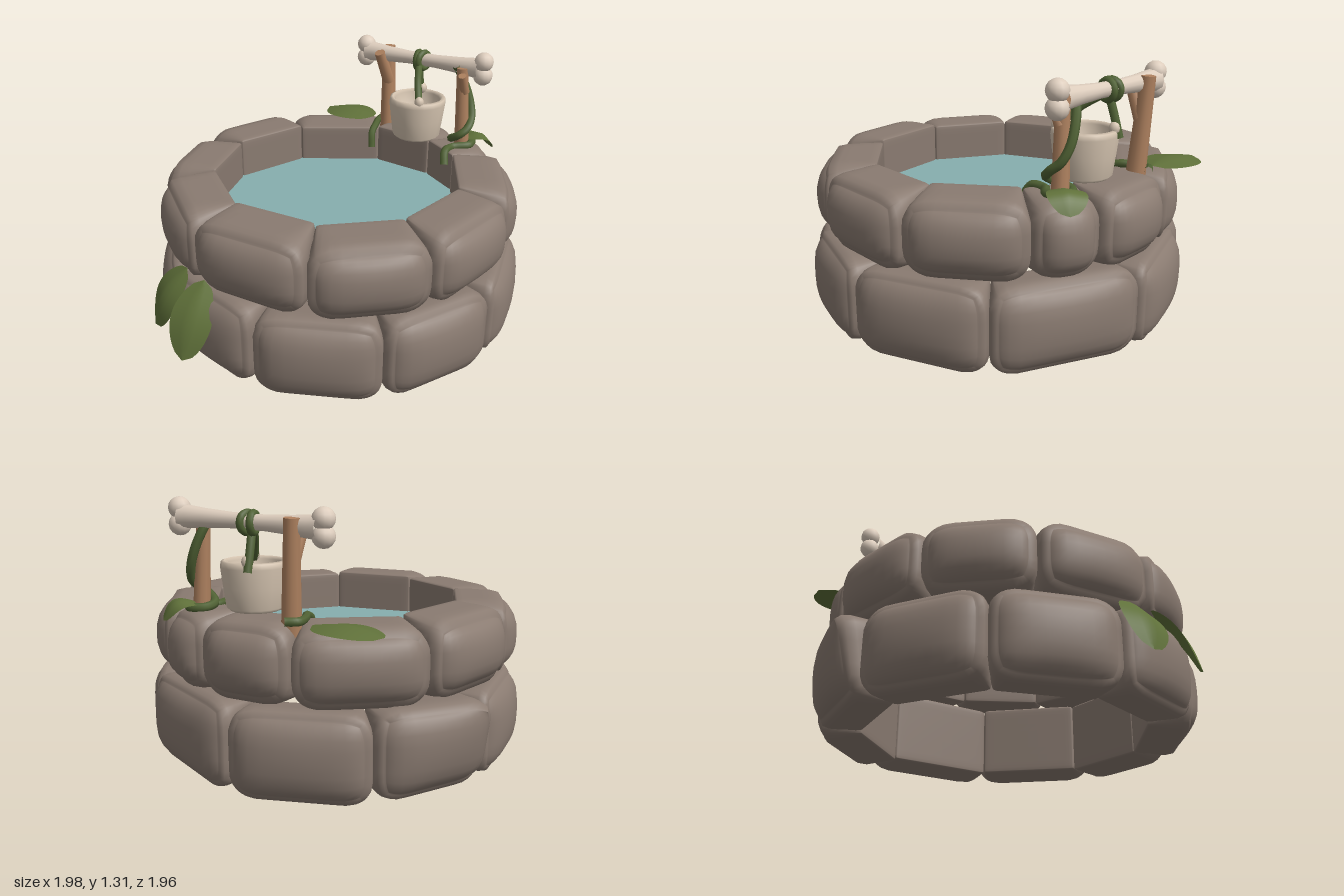
import * as THREE from 'three';
import { mergeVertices } from 'three/addons/utils/BufferGeometryUtils.js';

const V = (x, y, z) => new THREE.Vector3(x, y, z);
const mat = (name, color, side = THREE.FrontSide) => {
  const m = new THREE.MeshStandardMaterial({ color, side });
  m.name = name;
  return m;
};

export function createModel() {
  const model = new THREE.Group();
  model.name = 'stoneWell';
  const stone = mat('stone', 0x8a7b71);
  const water = mat('water', 0x86aeae, THREE.DoubleSide);
  const wood = mat('wood', 0xae815f);
  const bone = mat('bone', 0xddcdbd);
  const clay = mat('bucketClay', 0xd5c4b0);
  const vine = mat('vine', 0x506234);
  const leafGreen = mat('leaf', 0x60713a, THREE.DoubleSide);

  const add = (name, geometry, material, parent = model) => {
    const mesh = new THREE.Mesh(geometry, material);
    mesh.name = name;
    parent.add(mesh);
    return mesh;
  };
  const group = (name) => {
    const g = new THREE.Group();
    g.name = name;
    model.add(g);
    return g;
  };
  // Places a mesh whose length runs along y so that it spans a to b
  const span = (mesh, a, b) => {
    mesh.position.copy(a).lerp(b, 0.5);
    mesh.quaternion.setFromUnitVectors(V(0, 1, 0), b.clone().sub(a).normalize());
    return mesh;
  };

  // Wedge-shaped stone: crisp on the inside, pillowed on the outside
  function stoneGeometry(a0, a1, { rIn, rOut, y0, y1, cx, cz, taper }, wobble, flare) {
    const mid = (a0 + a1) / 2, half = (a1 - a0) / 2;
    const near = rIn * Math.cos(half), far = rOut * Math.min(Math.cos(half), 0.95);
    const hd = far - near, hh = (y1 - y0) / 2, hw = Math.tan(half) * (near + far) / 2;
    const geo = new THREE.BoxGeometry(2, 2, 2, 14, 12, 8);
    geo.deleteAttribute('uv');
    geo.deleteAttribute('normal');
    const pos = geo.attributes.position, p = V(0, 0, 0), core = V(0, 0, 0);
    const c = Math.cos(mid), s = Math.sin(mid);
    const ease = (t) => Math.sin(t * Math.PI / 2);
    for (let i = 0; i < pos.count; i++) {
      const u = ease(pos.getX(i)), v = ease(pos.getY(i)), w = ease(pos.getZ(i));
      const k = (w + 1) / 2, r = Math.min(0.02 + 0.125 * k, hw * 0.9);
      // rounded in a space of doubled depth, so corners are wide but shallow
      p.set(u * hw, v * hh, w * hd);
      core.set(
        THREE.MathUtils.clamp(p.x, r - hw, hw - r),
        THREE.MathUtils.clamp(p.y, r - hh, hh - r),
        THREE.MathUtils.clamp(p.z, r - hd, hd - r));
      p.sub(core);
      if (p.length() > r) p.setLength(r);
      p.add(core);
      const dist = (near + far + p.z) / 2;
      const across = p.x / hw * dist * Math.tan(half);
      const out = dist + k * (0.045 * (1 - u * u) * (1 - v * v) + flare * (1 + u) * (1 + v) / 4);
      const y = (y0 + y1) / 2 + wobble + p.y * (1 - taper * (1 - k)) + wobble * p.x;
      pos.setXYZ(i, cx + c * out + s * across, y, cz + s * out - c * across);
    }
    const merged = mergeVertices(geo, 1e-4);
    merged.computeVertexNormals();
    return merged;
  }

  // Two staggered courses, joints given as angles in degrees
  const courses = [
    { name: 'lowerStone', joints: [25, 68, 106, 145, 182, 220, 259, 296, 338], flareOf: 6,
      rIn: 0.71, rOut: 0.96, y0: 0.01, y1: 0.45, cx: 0.055, cz: 0.025, taper: 0.15 },
    { name: 'upperStone', joints: [13, 51, 90, 128, 168, 206, 241, 279, 320, 351], flareOf: -1,
      rIn: 0.635, rOut: 0.925, y0: 0.435, y1: 0.8, cx: 0.045, cz: 0.02, taper: 0 },
  ];
  for (const k of courses) {
    const ring = group(k.name + 'Course');
    k.joints.forEach((a, i) => {
      const next = i + 1 < k.joints.length ? k.joints[i + 1] : k.joints[0] + 360;
      add(k.name, stoneGeometry(THREE.MathUtils.degToRad(a), THREE.MathUtils.degToRad(next),
        k, 0.007 * Math.sin(i * 2.3 + 1), i === k.flareOf ? 0.1 : 0), stone, ring);
    });
  }

  // Water surface
  const pool = add('water', new THREE.CircleGeometry(0.69, 24), water);
  pool.rotation.x = -Math.PI / 2;
  pool.position.set(0.045, 0.595, 0.02);

  // Forked posts
  const stick = (name, a, b, r0, r1, parent) =>
    span(add(name, new THREE.CylinderGeometry(r1, r0, a.distanceTo(b), 10), wood, parent), a, b);
  const posts = group('posts');
  stick('frontPost', V(0.81, 0.74, 0.05), V(0.79, 1.23, 0.035), 0.042, 0.032, posts);
  stick('frontFork', V(0.8, 1.1, 0.05), V(0.76, 1.2, 0.075), 0.028, 0.022, posts);
  stick('backPost', V(0.63, 0.74, -0.435), V(0.645, 1.25, -0.47), 0.048, 0.036, posts);
  stick('backFork', V(0.635, 1.05, -0.45), V(0.555, 1.23, -0.43), 0.036, 0.029, posts);

  // Bone crossbar with two knobs at each end
  const beam = group('boneCrossbar');
  const endA = V(0.865, 1.23, 0.09), endB = V(0.56, 1.21, -0.555);
  const len = endA.distanceTo(endB);
  const half = [[0.5, 0.058], [0.44, 0.052], [0.32, 0.044], [0.12, 0.036]];
  const profile = [
    ...half.map(([t, r]) => new THREE.Vector2(r, -t * len)),
    ...half.slice().reverse().map(([t, r]) => new THREE.Vector2(r, t * len)),
  ];
  span(add('boneShaft', new THREE.LatheGeometry(profile, 12), bone, beam), endB, endA);
  for (const [end, dir] of [[endA, 1], [endB, -1]]) {
    for (const up of [1, -1]) {
      const knob = add('boneKnob', new THREE.SphereGeometry(0.052, 12, 8), bone, beam);
      knob.position.copy(end).add(V(0.008 * dir, 0.037 * up, 0.014 * dir));
    }
  }

  // Bucket with thick walls and two ears
  const bucket = group('bucket');
  const wall = [[0, 0.81], [0.115, 0.81], [0.132, 0.825], [0.145, 0.92], [0.156, 1.01], [0.152, 1.035],
    [0.138, 1.04], [0.124, 1.025], [0.105, 0.87], [0, 0.86]].map(([x, y]) => new THREE.Vector2(x, y));
  add('bucketBody', new THREE.LatheGeometry(wall, 18), clay, bucket).position.set(0.64, 0, -0.155);
  const ears = [V(0.575, 1.045, -0.045), V(0.735, 1.045, -0.25)];
  for (const e of ears) {
    const ear = add('bucketEar', new THREE.SphereGeometry(0.026, 10, 8), clay, bucket);
    ear.position.copy(e);
    ear.scale.y = 1.2;
  }

  // Vines
  const vines = group('vines');
  const strand = (name, r, ...pts) => add(name,
    new THREE.TubeGeometry(new THREE.CatmullRomCurve3(pts), pts.length * 7, r, 7), vine, vines);
  const knot = V(0.705, 1.215, -0.235);
  const axis = endA.clone().sub(endB).normalize();
  for (const [offset, lean] of [[-0.016, 0.25], [0.016, -0.25]]) {
    const loop = add('vineKnot', new THREE.TorusGeometry(0.042, 0.019, 8, 16), vine, vines);
    loop.position.copy(knot).addScaledVector(axis, offset);
    loop.quaternion.setFromUnitVectors(V(0, 0, 1), axis.clone().add(V(lean, 0, 0)).normalize());
  }
  strand('bucketStrand', 0.02, V(0.68, 1.19, -0.215), V(0.625, 1.13, -0.135), V(0.575, 1.03, -0.045));
  strand('bucketStrand', 0.02, V(0.7, 1.18, -0.24), V(0.72, 1.1, -0.255), V(0.745, 1.0, -0.27));
  strand('postVine', 0.022, V(0.77, 1.24, 0.0), V(0.805, 1.2, -0.015), V(0.845, 1.11, 0.005), V(0.86, 1.02, 0.035),
    V(0.845, 0.95, 0.07), V(0.8, 0.905, 0.1), V(0.755, 0.87, 0.09), V(0.755, 0.83, 0.02), V(0.82, 0.815, -0.005),
    V(0.87, 0.815, 0.05), V(0.81, 0.81, 0.11), V(0.72, 0.805, 0.08), V(0.65, 0.8, 0.11), V(0.625, 0.74, 0.145));
  strand('backVine', 0.02, V(0.69, 0.81, -0.47), V(0.64, 0.81, -0.5), V(0.575, 0.81, -0.46),
    V(0.53, 0.81, -0.41), V(0.48, 0.78, -0.37), V(0.465, 0.7, -0.345));

  // Leaves: pointed ovals, folded along the midrib and arched
  function leaf(name, base, tip, width, up, arch) {
    const dir = tip.clone().sub(base);
    const side = dir.clone().cross(up).normalize();
    const normal = side.clone().cross(dir).normalize();
    const geo = new THREE.PlaneGeometry(2, 1, 6, 14);
    const pos = geo.attributes.position;
    for (let i = 0; i < pos.count; i++) {
      const s = pos.getX(i), t = pos.getY(i) + 0.5;
      const w = width / 2 * Math.pow(Math.max(0, Math.sin(Math.PI * t)), 0.55);
      const lift = arch * Math.sin(Math.PI * t) - 0.18 * w * Math.abs(s);
      const p = base.clone().addScaledVector(dir, t).addScaledVector(side, s * w).addScaledVector(normal, lift);
      pos.setXYZ(i, p.x, p.y, p.z);
    }
    geo.computeVertexNormals();
    add(name, geo, leafGreen);
  }
  leaf('frontPostLeaf', V(0.82, 0.83, 0.05), V(0.985, 0.76, 0.09), 0.18, V(0.3, 1, 0), 0.055);
  leaf('backPostLeaf', V(0.6, 0.8, -0.55), V(0.47, 0.785, -0.87), 0.26, V(0, 1, 0), 0.025);
  leaf('sideLeafBack', V(-0.82, 0.47, 0.08), V(-0.99, 0.17, 0.03), 0.25, V(-1, 0.4, 0), 0.045);
  leaf('sideLeafFront', V(-0.79, 0.48, 0.24), V(-0.965, 0.15, 0.35), 0.22, V(-1, 0.4, 0.8), 0.04);

  return model;
}
